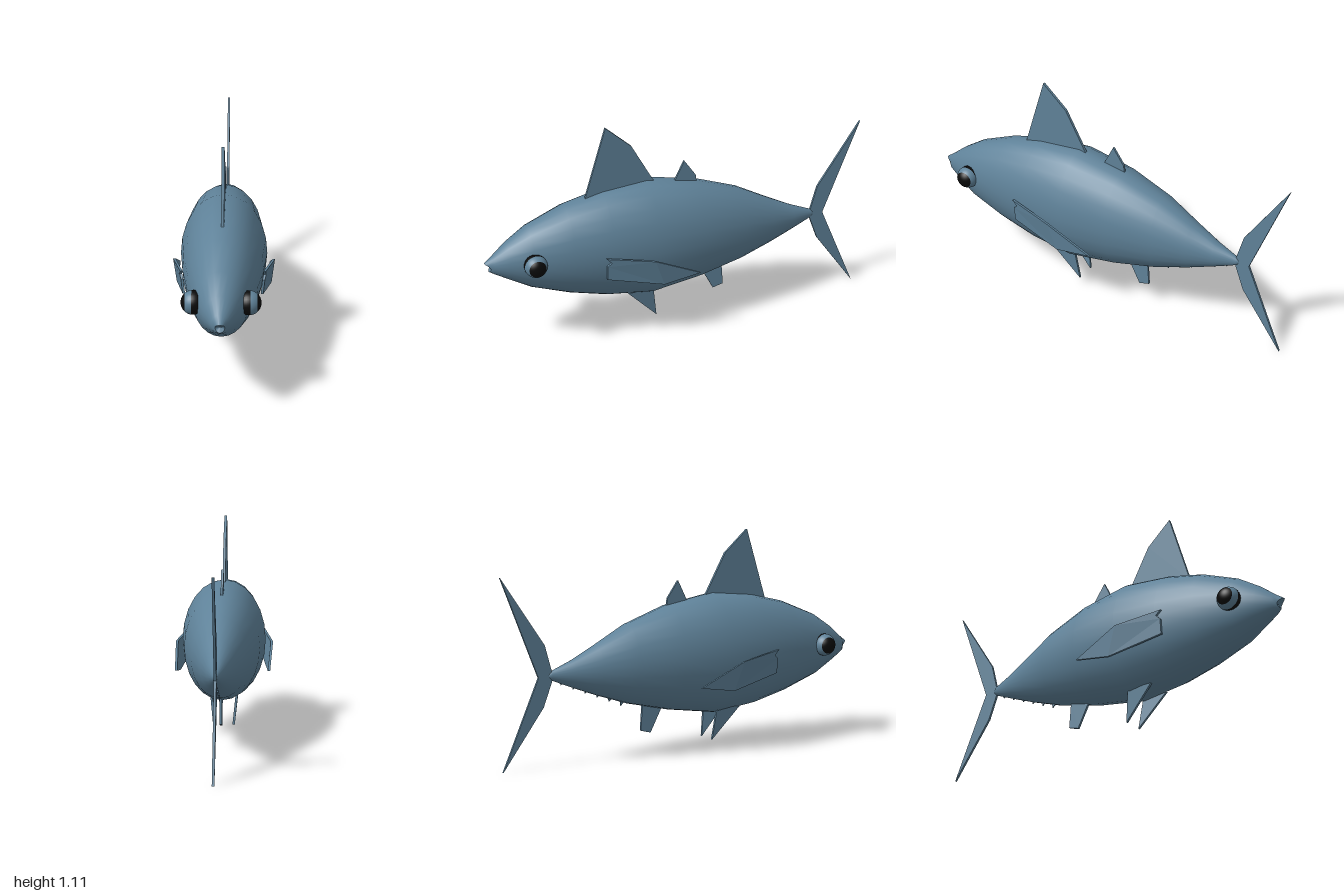
import * as THREE from 'three';

const skin = new THREE.MeshStandardMaterial({ color: 0x5f8299, side: THREE.DoubleSide });
skin.name = 'blue grey skin';
const black = new THREE.MeshStandardMaterial({ color: 0x0a0a0a });
black.name = 'pupil black';

// Loft through rings of points, listed from front to back
function loft(rings) {
  const n = rings[0].length, index = [];
  for (let i = 0; i < rings.length - 1; i++) {
    for (let j = 0; j < n; j++) {
      const k = (j + 1) % n, a = i * n + j, b = i * n + k;
      index.push(a, a + n, b, b, a + n, b + n);
    }
  }
  const geo = new THREE.BufferGeometry();
  geo.setAttribute('position', new THREE.Float32BufferAttribute(rings.flat(2), 3));
  geo.setIndex(index);
  geo.computeVertexNormals();
  return geo;
}

// Elliptical ring; warp moves points along z by angle
function ring([z, top, bottom, half], warp = () => 0) {
  const points = [];
  for (let j = 0; j < 24; j++) {
    const a = (j / 24) * Math.PI * 2;
    points.push([half * Math.cos(a), (top + bottom) / 2 + (top - bottom) / 2 * Math.sin(a), z + warp(a)]);
  }
  return points;
}

// Thin fin from a [z, y] outline, bent sideways by a rule
function fin(name, outline, thickness, bend = () => 0) {
  const shape = new THREE.Shape(outline.map(([z, y]) => new THREE.Vector2(z, y)));
  const geo = new THREE.ExtrudeGeometry(shape, { depth: thickness, bevelEnabled: false });
  geo.translate(0, 0, -thickness / 2).rotateY(-Math.PI / 2);
  const p = geo.attributes.position;
  for (let i = 0; i < p.count; i++) p.setX(i, p.getX(i) + bend(p.getY(i), p.getZ(i)));
  geo.computeVertexNormals();
  const mesh = new THREE.Mesh(geo, skin);
  mesh.name = name;
  return mesh;
}

export function createModel() {
  const model = new THREE.Group();
  model.name = 'fish';
  const add = (name, geo, material = skin, parent = model) => {
    const mesh = new THREE.Mesh(geo, material);
    mesh.name = name;
    parent.add(mesh);
  };

  // Body sections: z, top, bottom, half width
  const lips = ring([0.985, 0.49, 0.443, 0.022], a => 0.01 * Math.sin(a) - 0.018 * Math.cos(a) ** 2);
  const sections = [
    [0.95, 0.522, 0.428, 0.042], [0.88, 0.58, 0.388, 0.08], [0.77, 0.652, 0.327, 0.125],
    [0.58, 0.73, 0.26, 0.168], [0.39, 0.775, 0.212, 0.195], [0.16, 0.798, 0.183, 0.213],
    [-0.1, 0.752, 0.222, 0.188], [-0.33, 0.672, 0.275, 0.14], [-0.5, 0.582, 0.332, 0.09],
    [-0.63, 0.517, 0.382, 0.05], [-0.74, 0.473, 0.427, 0.017], [-0.765, 0.45, 0.45, 0],
  ];
  add('body', loft([lips, ...sections.map(s => ring(s))]));
  add('mouth', loft([ring([0.96, 0.467, 0.467, 0]), lips]));

  // Fins along the middle
  model.add(
    fin('dorsalFin', [[0.48, 0.74], [0.365, 1.11], [0.235, 0.995], [0.11, 0.77]], 0.014),
    fin('rearDorsalFin', [[0.02, 0.75], [-0.04, 0.87], [-0.1, 0.785], [-0.11, 0.72]], 0.012),
    fin('analFin', [[-0.13, 0.25], [-0.2, 0.115], [-0.255, 0.13], [-0.245, 0.27]], 0.012),
    fin('tailFin', [[-0.735, 0.455], [-0.775, 0.6], [-1, 0.935], [-0.81, 0.445],
      [-1, 0.005], [-0.785, 0.3], [-0.74, 0.42]], 0.012),
  );

  // Row of finlets under the tail
  for (let i = 0; i < 6; i++) {
    const z = -0.35 - i * 0.065, y = 0.295 + i * 0.0265;
    model.add(fin('finlet', [[z + 0.015, y], [z - 0.016, y - 0.028], [z - 0.022, y + 0.015]], 0.006));
  }

  for (const side of [1, -1]) {
    const label = side > 0 ? 'left' : 'right';
    // Paired fins
    model.add(
      fin(label + 'PectoralFin',
        [[0.435, 0.51], [0.2, 0.475], [-0.04, 0.36], [0.15, 0.33], [0.43, 0.39], [0.43, 0.465], [0.41, 0.485]],
        0.012, (y, z) => side * ((z > 0.2 ? 0.24 - (z - 0.2) * 0.21 : 0.24) + (y - 0.43) * 0.1)),
      fin(label + 'PelvicFin', [[0.285, 0.215], [0.13, 0.052], [0.15, 0.215]],
        0.012, y => side * (0.05 + (y - 0.05) * 0.1)),
    );

    // Eye in bands around the sideways axis
    const eye = new THREE.Group();
    eye.name = label + 'Eye';
    eye.position.set(side * 0.128, 0.5, 0.77);
    eye.rotation.z = -side * Math.PI / 2;
    const bands = [['pupil', 0, 0.84, black], ['eyeball', 0.84, 1.45, skin], ['eyeRim', 1.45, Math.PI, black]];
    for (const [name, from, to, material] of bands) {
      add(name, new THREE.SphereGeometry(0.057, 28, 10, 0, Math.PI * 2, from, to - from), material, eye);
    }
    model.add(eye);
  }
  return model;
}
